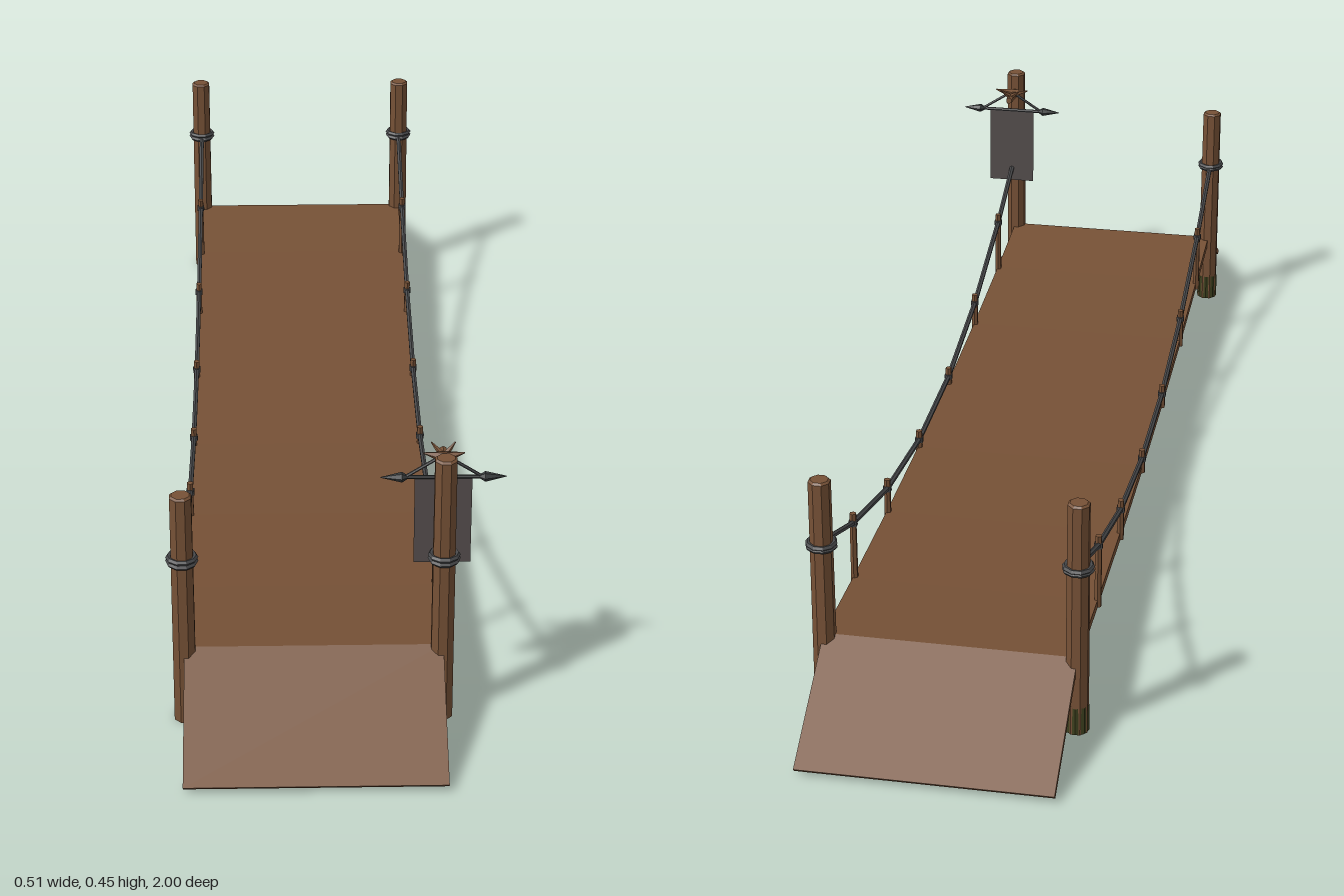
import * as THREE from 'three';

const material = (name, color, extra = {}) => {
  const m = new THREE.MeshStandardMaterial({ color, ...extra });
  m.name = name;
  return m;
};

export function createModel() {
  const root = new THREE.Group();
  root.name = 'ropeBridge';
  const wood = material('wood', 0x765136, { flatShading: true });
  const rope = material('rope', 0x47484a, { flatShading: true });
  const iron = material('darkIron', 0x36393a, { flatShading: true });
  const moss = material('moss', 0x3c3f1e, { flatShading: true });
  const cloth = material('cloth', 0x554e4d, { side: THREE.DoubleSide });

  const add = (name, geometry, mat, x = 0, y = 0, z = 0, parent = root) => {
    const mesh = new THREE.Mesh(geometry, mat);
    mesh.name = name;
    mesh.position.set(x, y, z);
    parent.add(mesh);
    return mesh;
  };
  // Straight round bar between two points
  const bar = (name, a, b, r0, r1, mat, parent = root, sides = 6) => {
    const p = new THREE.Vector3(...a), q = new THREE.Vector3(...b);
    const dir = q.clone().sub(p);
    const mesh = add(name, new THREE.CylinderGeometry(r1, r0, dir.length(), sides), mat, 0, 0, 0, parent);
    mesh.position.copy(p).add(q).multiplyScalar(0.5);
    mesh.quaternion.setFromUnitVectors(new THREE.Vector3(0, 1, 0), dir.normalize());
    return mesh;
  };

  const sideX = [-0.232, 0.158];
  const endZ = 0.8;
  const deckY = z => 0.096 + 0.031 * (z / endZ) ** 2;

  // Sagging deck with a ramp at each end, extruded across the width
  const top = [[-1, 0.012]];
  for (const z of [-0.8, -0.61, -0.37, -0.125, 0.125, 0.37, 0.61, 0.8]) top.push([z, deckY(z)]);
  top.push([1, 0.012]);
  const bottom = top.map(([z, y]) => [Math.abs(z) === 1 ? z * 0.993 : z, y - (Math.abs(z) === 1 ? 0.007 : 0.014)]).reverse();
  const profile = new THREE.Shape([...top, ...bottom].map(([z, y]) => new THREE.Vector2(z, y)));
  const deck = new THREE.ExtrudeGeometry(profile, { depth: 0.392, bevelEnabled: false });
  deck.rotateY(-Math.PI / 2);
  add('deck', deck, wood, 0.16, 0, 0);

  // Corner posts with rope lashings; the bannered post is taller and clean
  for (const x of sideX) for (const z of [-endZ, endZ]) {
    const tall = x > 0 && z > 0;
    const h = tall ? 0.448 : 0.39;
    const post = new THREE.Group();
    post.name = 'cornerPost';
    post.position.set(x, 0, z);
    root.add(post);
    add('postShaft', new THREE.CylinderGeometry(0.0175, 0.0185, h, 8), wood, 0, h / 2, 0, post)
      .rotation.y = Math.PI / 8;
    add('postCap', new THREE.CylinderGeometry(0.014, 0.0175, 0.003, 8), wood, 0, h + 0.0015, 0, post)
      .rotation.y = Math.PI / 8;
    for (const [y, tilt] of [[0.28, 0.05], [0.286, -0.05]]) {
      const ring = add('lashing', new THREE.TorusGeometry(0.0205, 0.0042, 5, 10), rope, 0, y, 0, post);
      ring.rotation.x = Math.PI / 2 + tilt;
    }
    if (!tall) {
      // Moss wraps the foot, leaving the front outer side bare
      add('moss', new THREE.CylinderGeometry(0.0188, 0.0192, 0.046, 6, 1, true, 0, Math.PI * 1.5),
        moss, 0, 0.024, 0, post);
    }
  }

  // Hand ropes running over the short balusters
  const stops = [[0.8, 0.286], [0.605, 0.211], [0.37, 0.146], [0.125, 0.111]];
  const path = [...stops.map(([z, y]) => [-z, y]), ...stops.slice().reverse()];
  for (const x of sideX) {
    for (let i = 0; i < path.length - 1; i++) {
      const [z0, y0] = path[i], [z1, y1] = path[i + 1];
      bar('handRope', [x, y0, z0], [x, y1, z1], 0.0045, 0.0045, rope);
    }
    for (const [z, y] of path.slice(1, -1)) {
      const base = deckY(z) - 0.012, tip = y + 0.017;
      add('baluster', new THREE.CylinderGeometry(0.0055, 0.006, tip - base, 6), wood,
        x, (base + tip) / 2, z);
      add('ropeKnot', new THREE.CylinderGeometry(0.0075, 0.0075, 0.009, 6), rope, x, y, z);
    }
  }

  // Banner hung from a peg behind the tall post
  const banner = new THREE.Group();
  banner.name = 'banner';
  banner.position.set(0.158, 0, 0.75);
  root.add(banner);
  bar('peg', [0, 0.412, 0.045], [0, 0.42, -0.03], 0.009, 0.006, wood, banner);
  for (const s of [-1, 1]) {
    bar('pegSpike', [0, 0.424, 0], [s * 0.031, 0.431, 0], 0.009, 0.001, wood, banner, 5);
    bar('pegThorn', [0, 0.42, -0.008], [s * 0.018, 0.437, -0.022], 0.006, 0.001, wood, banner, 5);
    bar('hangingCord', [s * 0.058, 0.39, 0], [0, 0.428, 0], 0.0025, 0.0025, rope, banner);
    bar('rodTip', [s * 0.062, 0.39, 0], [s * 0.094, 0.39, 0], 0.008, 0.0005, iron, banner);
    bar('rodCollar', [s * 0.054, 0.39, 0], [s * 0.062, 0.39, 0], 0.003, 0.008, iron, banner);
  }
  bar('crossRod', [-0.062, 0.39, 0], [0.062, 0.39, 0], 0.003, 0.003, iron, banner);
  add('bannerCloth', new THREE.PlaneGeometry(0.086, 0.148), cloth, 0, 0.316, 0, banner);

  return root;
}
